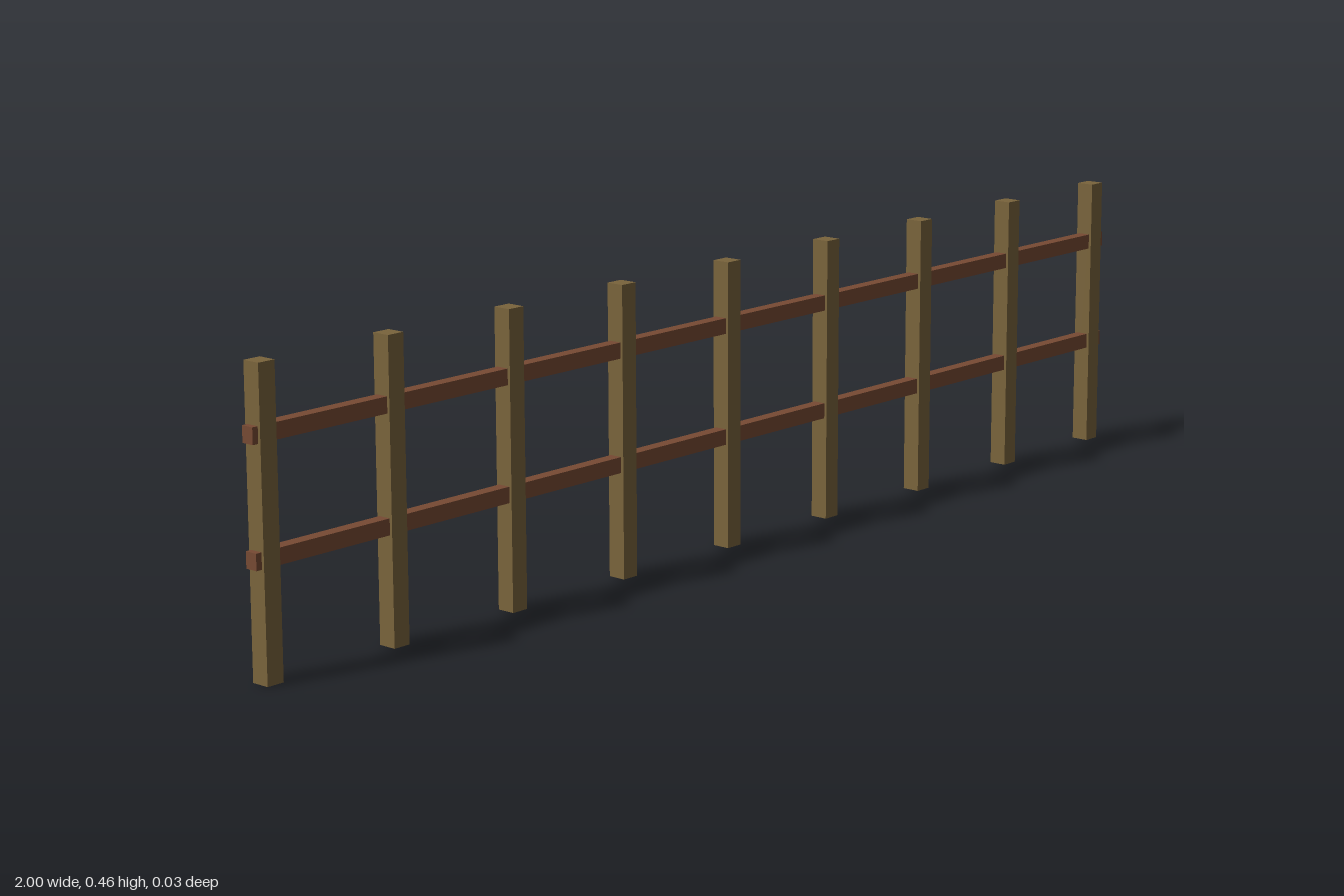
import * as THREE from 'three';

const POST_COUNT = 9;
const POST_SPAN = 1.95; // between the centres of the end posts
const POST = { width: 0.03, height: 0.462, depth: 0.03 };
const RAIL = { length: 2, height: 0.025, depth: 0.021 };
const RAIL_HEIGHTS = [0.181, 0.36];

export function createModel() {
  const fence = new THREE.Group();
  fence.name = 'fence';

  const postMaterial = new THREE.MeshStandardMaterial({ color: 0x7a643c });
  const railMaterial = new THREE.MeshStandardMaterial({ color: 0x774a33 });

  // Upright posts, evenly spaced along x
  const postGeometry = new THREE.BoxGeometry(POST.width, POST.height, POST.depth);
  for (let i = 0; i < POST_COUNT; i++) {
    const post = new THREE.Mesh(postGeometry, postMaterial);
    post.name = `post${i + 1}`;
    post.position.set((i / (POST_COUNT - 1) - 0.5) * POST_SPAN, POST.height / 2, 0);
    fence.add(post);
  }

  // Horizontal rails running through all posts and out past the ends
  const railGeometry = new THREE.BoxGeometry(RAIL.length, RAIL.height, RAIL.depth);
  RAIL_HEIGHTS.forEach((y, i) => {
    const rail = new THREE.Mesh(railGeometry, railMaterial);
    rail.name = ['lowerRail', 'upperRail'][i];
    rail.position.y = y;
    fence.add(rail);
  });

  return fence;
}
